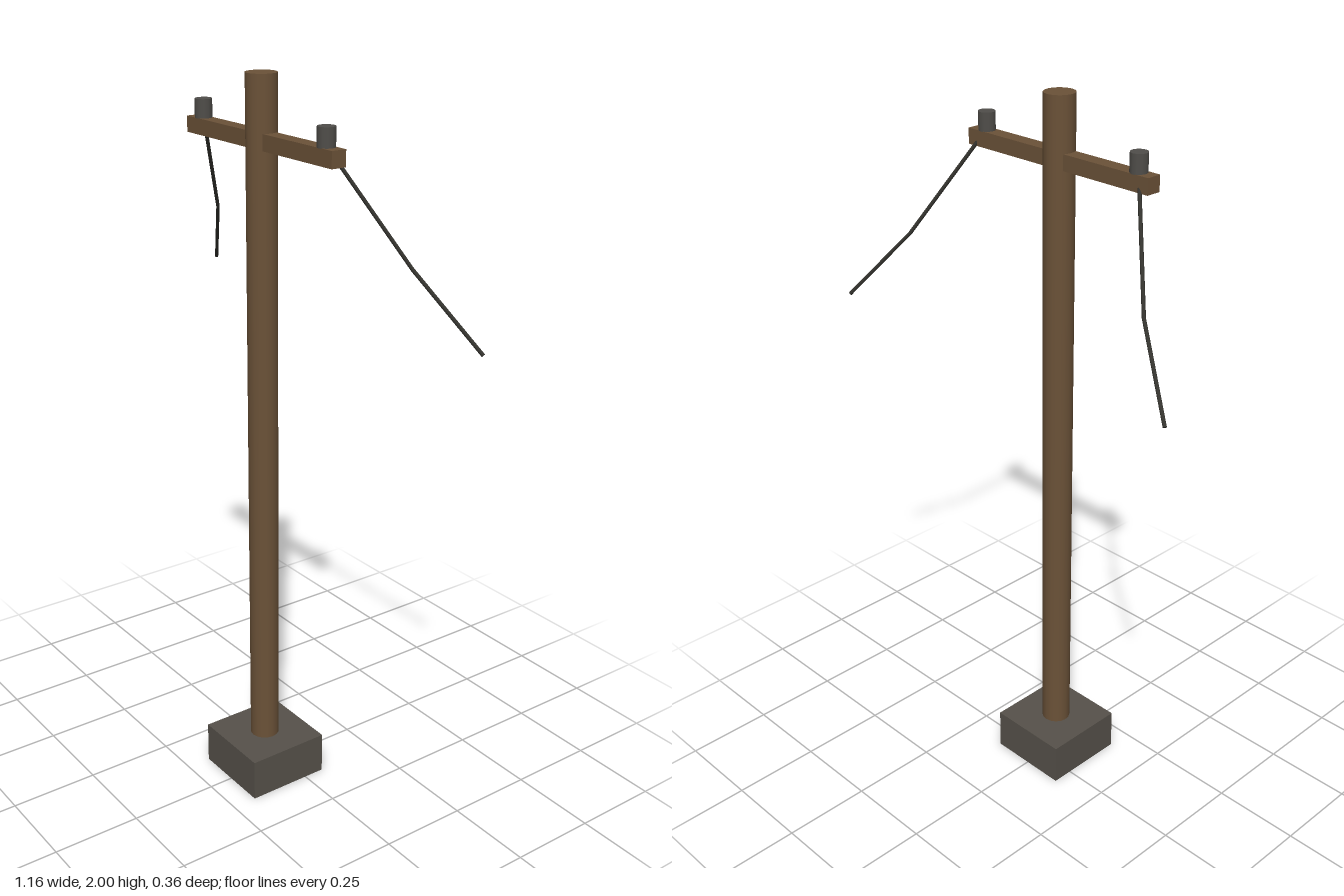
import * as THREE from 'three';

const Z = 0.06; // depth of the pole axis

export function createModel() {
  const group = new THREE.Group();
  group.name = 'utilityPole';

  const material = (name, color) => {
    const m = new THREE.MeshStandardMaterial({ color });
    m.name = name;
    return m;
  };
  const wood = material('wood', 0x6b5238);
  const concrete = material('concrete', 0x56514a);
  const ceramic = material('ceramic', 0x504e4a);
  const cable = material('cable', 0x35342f);

  const add = (name, geometry, mat, x, y, z) => {
    const mesh = new THREE.Mesh(geometry, mat);
    mesh.name = name;
    mesh.position.set(x, y, z);
    group.add(mesh);
    return mesh;
  };

  // Footing, pole and crossarm
  add('footing', new THREE.BoxGeometry(0.24, 0.12, 0.24), concrete, 0, 0.06, Z);
  add('pole', new THREE.CylinderGeometry(0.041, 0.041, 1.9, 16), wood, 0, 1.05, Z);
  add('crossarm', new THREE.BoxGeometry(0.62, 0.042, 0.042), wood, 0, 1.836, Z);

  // A straight length of wire between two points
  const up = new THREE.Vector3(0, 1, 0);
  const addWire = (name, a, b) => {
    const dir = b.clone().sub(a);
    const mid = a.clone().add(b).multiplyScalar(0.5);
    const wire = add(name, new THREE.CylinderGeometry(0.005, 0.005, dir.length(), 8), cable, mid.x, mid.y, mid.z);
    wire.quaternion.setFromUnitVectors(up, dir.normalize());
  };

  // Insulators and the sagging wires hanging behind them, one set per side
  for (const [side, s] of [['left', 1], ['right', -1]]) {
    add(`${side}Insulator`, new THREE.CylinderGeometry(0.023, 0.023, 0.05, 12), ceramic, s * 0.262, 1.881, Z);
    const points = [[0.262, 1.86, Z], [0.418, 1.576, -0.082], [0.575, 1.385, -0.177]]
      .map(([x, y, z]) => new THREE.Vector3(s * x, y, z));
    addWire(`${side}WireUpper`, points[0], points[1]);
    addWire(`${side}WireLower`, points[1], points[2]);
  }

  return group;
}
